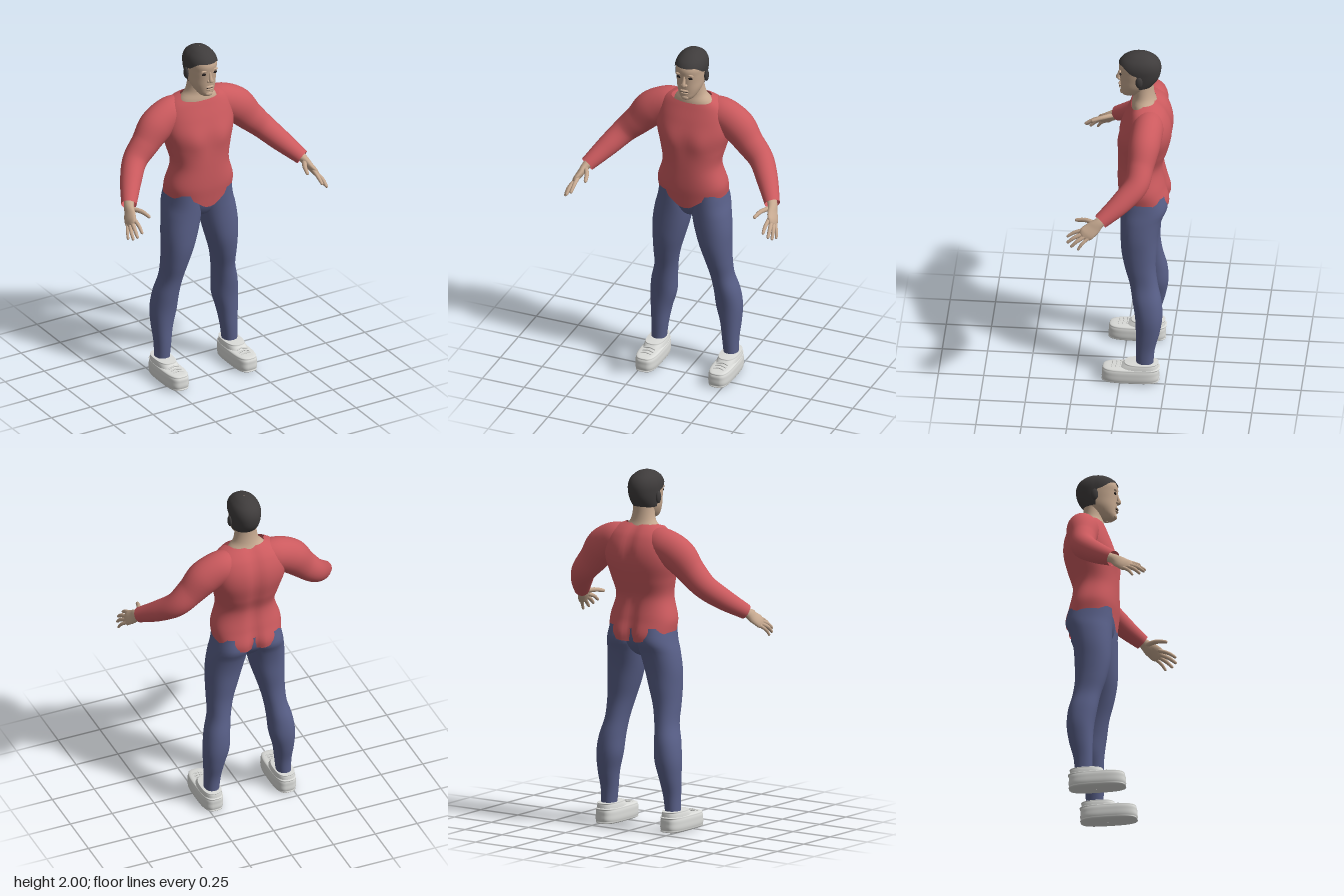
import * as THREE from 'three';

const V = (p) => new THREE.Vector3(...p);
const TAU = Math.PI * 2;
const bump = (d, width) => Math.exp(-((d / width) ** 2));

// Closed tube-like surface from f(angle, v) -> [x, y, z]
function surface(nu, nv, f) {
  const pos = [], idx = [];
  for (let j = 0; j <= nv; j++)
    for (let i = 0; i < nu; i++) pos.push(...f((i / nu) * TAU, j / nv));
  for (let j = 0; j < nv; j++)
    for (let i = 0; i < nu; i++) {
      const a = j * nu + i, b = j * nu + ((i + 1) % nu);
      idx.push(a, a + nu, b, b, a + nu, b + nu);
    }
  const g = new THREE.BufferGeometry();
  g.setAttribute('position', new THREE.Float32BufferAttribute(pos, 3));
  g.setIndex(idx);
  g.computeVertexNormals();
  return g;
}

// Smooth lookup in a table whose first column is height
function profile(rows) {
  const slope = (i, k) => {
    const a = rows[Math.max(0, i - 1)], b = rows[Math.min(rows.length - 1, i + 1)];
    return (b[k] - a[k]) / (b[0] - a[0]);
  };
  return (y) => {
    let i = 0;
    while (i < rows.length - 2 && y > rows[i + 1][0]) i++;
    const a = rows[i], b = rows[i + 1], h = b[0] - a[0];
    const t = THREE.MathUtils.clamp((y - a[0]) / h, 0, 1), t2 = t * t, t3 = t2 * t;
    return a.map((_, k) => (2 * t3 - 3 * t2 + 1) * a[k] + (3 * t2 - 2 * t3) * b[k] +
      h * ((t3 - 2 * t2 + t) * slope(i, k) + (t3 - t2) * slope(i + 1, k)));
  };
}

// Point on an upright body; rows are [y, half width, front z, back z, centre x]
function ringPoint(prof, angle, y, e = 1) {
  const [, w, zf, zb, cx = 0] = prof(y);
  const c = Math.cos(angle), s = Math.sin(angle);
  const pw = (n) => Math.sign(n) * Math.abs(n) ** e;
  return [cx + w * pw(c), y, (zf + zb) / 2 + ((zf - zb) / 2) * pw(s)];
}

function column(rows, nu, nv, e = 1) {
  const prof = profile(rows), y0 = rows[0][0], y1 = rows[rows.length - 1][0];
  return surface(nu, nv, (u, v) => ringPoint(prof, u, y0 + (y1 - y0) * v, e));
}

// Tube through [x, y, z, depth radius, height radius] sections
function limb(sections, nu = 12, nv = 16) {
  const path = new THREE.CatmullRomCurve3(sections.map((s) => V(s.slice(0, 3))));
  const radii = new THREE.CatmullRomCurve3(sections.map((s) => V([s[3], s[4] ?? s[3], 0])));
  return surface(nu, nv, (u, v) => {
    const p = path.getPoint(v), t = path.getTangent(v), r = radii.getPoint(v);
    const a = new THREE.Vector3(0, 0, 1).addScaledVector(t, -t.z).normalize();
    const b = a.clone().cross(t);
    return p.addScaledVector(a, r.x * Math.cos(u)).addScaledVector(b, r.y * Math.sin(u)).toArray();
  });
}

function ellipsoid(x, y, z, rx, ry, rz) {
  return new THREE.SphereGeometry(1, 16, 12).scale(rx, ry, rz).translate(x, y, z);
}

function mirrored(geo) {
  const g = geo.clone().scale(-1, 1, 1), ix = g.index.array;
  for (let i = 0; i < ix.length; i += 3) [ix[i], ix[i + 1]] = [ix[i + 1], ix[i]];
  g.computeVertexNormals();
  return g;
}

export function createModel() {
  const model = new THREE.Group();
  model.name = 'standingMan';
  const mat = (name, color) => {
    const m = new THREE.MeshStandardMaterial({ color, side: THREE.DoubleSide });
    m.name = name;
    return m;
  };
  const skin = mat('skin', 0xc6a990), shirt = mat('redShirt', 0xcb5a5e), denim = mat('blueTrousers', 0x596089);
  const dark = mat('hair', 0x3f3c3c), white = mat('shoeWhite', 0xdadbd8), eye = mat('eyeDark', 0x241f1e);
  const add = (name, geo, material) => {
    const m = new THREE.Mesh(geo, material);
    m.name = name;
    model.add(m);
  };
  const pair = (name, geo, material) => {
    add(name + 'Left', geo, material);
    add(name + 'Right', mirrored(geo), material);
  };

  // Shirt body with curved hem, chest and spine groove
  const torso = profile([
    [1.04, 0.193, 0.015, -0.255], [1.1, 0.193, 0.022, -0.262], [1.18, 0.198, 0.03, -0.24],
    [1.3, 0.166, 0.03, -0.222], [1.4, 0.185, 0.026, -0.25], [1.5, 0.213, 0.018, -0.272],
    [1.58, 0.213, -0.004, -0.268], [1.65, 0.19, -0.03, -0.24], [1.69, 0.145, -0.046, -0.205],
    [1.708, 0.1, -0.06, -0.18]]);
  add('shirtBody', surface(72, 48, (u, v) => {
    const c = Math.cos(u), s = Math.sin(u);
    const hem = 1.115 - (s > 0 ? 0.065 * bump(c, 0.36) : 0.058 * s * s);
    const top = 1.708 - 0.025 * Math.max(0, s);
    const y = hem + (top - hem) * v, p = ringPoint(torso, u, y, 0.85);
    if (s < 0) p[2] += -s * bump(p[0], 0.035) * (0.012 + 0.025 * bump(y - 1.05, 0.09));
    else p[2] += s * 0.012 * bump(Math.abs(p[0]) - 0.09, 0.06) * bump(y - 1.46, 0.07);
    return p;
  }), shirt);

  // Sleeves
  pair('sleeve', limb([
    [0.07, 1.605, -0.15, 0.07, 0.085], [0.16, 1.597, -0.145, 0.088, 0.098], [0.25, 1.553, -0.135, 0.088, 0.1],
    [0.33, 1.468, -0.122, 0.074, 0.083], [0.405, 1.392, -0.105, 0.068, 0.07], [0.475, 1.318, -0.03, 0.06, 0.06],
    [0.553, 1.237, 0.08, 0.043, 0.042]], 28, 40), shirt);

  // Hands: palm, thumb and four fingers
  pair('palm', limb([
    [0.535, 1.255, 0.05, 0.03, 0.026], [0.557, 1.232, 0.086, 0.03, 0.024], [0.572, 1.203, 0.12, 0.04, 0.02],
    [0.587, 1.178, 0.153, 0.043, 0.017], [0.594, 1.163, 0.173, 0.03, 0.012], [0.597, 1.158, 0.178, 0.002]], 16, 20), skin);
  const fingers = [
    ['thumb', [0.552, 1.222, 0.105], [0.52, 1.222, 0.165], [0.503, 1.208, 0.226], 0.0125],
    ['indexFinger', [0.573, 1.192, 0.165], [0.572, 1.172, 0.22], [0.575, 1.142, 0.265], 0.0105],
    ['middleFinger', [0.585, 1.177, 0.167], [0.598, 1.152, 0.222], [0.603, 1.12, 0.262], 0.011],
    ['ringFinger', [0.594, 1.164, 0.16], [0.612, 1.138, 0.205], [0.618, 1.102, 0.24], 0.0105],
    ['littleFinger', [0.6, 1.155, 0.145], [0.62, 1.126, 0.178], [0.629, 1.092, 0.2], 0.009]];
  for (const [name, a, b, c, r] of fingers) {
    const tip = V(c).lerp(V(b), 0.12).toArray();
    pair(name, limb([[...a, r * 1.15], [...b, r], [...tip, r * 0.75], [...c, 0.001]], 10, 14), skin);
  }

  // Trousers: legs plus the pelvis that joins them
  pair('trouserLeg', column([
    [0.1, 0.04, -0.088, -0.182, 0.216], [0.2, 0.046, -0.085, -0.19, 0.211], [0.3, 0.058, -0.085, -0.215, 0.207],
    [0.4, 0.073, -0.08, -0.23, 0.196], [0.5, 0.07, -0.065, -0.224, 0.186], [0.6, 0.063, -0.048, -0.202, 0.167],
    [0.7, 0.073, -0.02, -0.19, 0.154], [0.8, 0.089, 0, -0.194, 0.139], [0.9, 0.103, 0.006, -0.202, 0.125],
    [1.0, 0.107, 0.007, -0.225, 0.109], [1.06, 0.102, 0.008, -0.25, 0.1], [1.14, 0.09, 0.01, -0.235, 0.097]], 32, 48, 0.92), denim);
  add('trouserSeat', column([
    [0.955, 0.003, -0.1, -0.11], [0.975, 0.06, -0.05, -0.16], [1.01, 0.13, -0.02, -0.2],
    [1.06, 0.185, 0.0, -0.23], [1.13, 0.188, 0.01, -0.235]], 48, 16), denim);

  // Shoes: rounded body, ankle collar and laces
  pair('shoe', column([
    [0, 0.003, -0.06, -0.065, 0.218], [0.003, 0.048, 0.075, -0.19, 0.218], [0.018, 0.062, 0.098, -0.212, 0.218],
    [0.055, 0.064, 0.1, -0.214, 0.218], [0.08, 0.061, 0.095, -0.212, 0.218], [0.094, 0.05, 0.07, -0.2, 0.218],
    [0.099, 0.003, -0.06, -0.065, 0.218]], 40, 40, 0.62), white);
  pair('shoeCollar', column([
    [0.07, 0.06, 0.025, -0.213, 0.218], [0.095, 0.057, 0.0, -0.21, 0.218], [0.115, 0.052, -0.025, -0.205, 0.218],
    [0.122, 0.045, -0.035, -0.198, 0.218], [0.123, 0.003, -0.1, -0.105, 0.218]], 32, 20, 0.75), white);
  for (let i = 0; i < 3; i++) {
    const z = 0.045 - i * 0.024, y = 0.097 + i * 0.004;
    pair('lace' + (i + 1), limb([[0.185, y - 0.004, z, 0.004], [0.218, y + 0.003, z - 0.004, 0.004], [0.251, y - 0.004, z, 0.004]], 6, 8), white);
  }

  // Neck and head
  add('neck', column([
    [1.65, 0.125, -0.045, -0.2], [1.69, 0.104, -0.048, -0.186], [1.72, 0.076, -0.055, -0.174],
    [1.77, 0.063, -0.055, -0.166], [1.84, 0.06, -0.05, -0.165]], 36, 16), skin);
  const headRows = [
    [1.722, 0.003, -0.03, -0.04], [1.728, 0.026, 0.0, -0.07], [1.745, 0.043, 0.014, -0.1],
    [1.77, 0.058, 0.016, -0.13], [1.8, 0.069, 0.018, -0.16], [1.84, 0.075, 0.02, -0.188],
    [1.88, 0.079, 0.023, -0.2], [1.92, 0.08, 0.025, -0.2], [1.955, 0.069, 0.008, -0.184],
    [1.98, 0.046, -0.025, -0.152], [1.991, 0.026, -0.055, -0.125], [1.996, 0.002, -0.088, -0.092]];
  const head = profile(headRows);
  add('head', column(headRows, 40, 48, 0.92), skin);

  // Short hair cap with a hairline that drops behind the temples
  add('hair', surface(64, 28, (u, v) => {
    const s = Math.sin(u);
    const line = 1.935 - 0.045 * THREE.MathUtils.smoothstep(-s, -0.85, -0.1) - 0.092 * THREE.MathUtils.smoothstep(-s, -0.1, 0.18);
    const y = line + (1.996 - line) * Math.sin(v * Math.PI / 2);
    const [x, , z] = ringPoint(head, u, y, 0.92);
    return [x * 1.07, y + 0.004 * v, -0.09 + (z + 0.09) * 1.05];
  }), dark);
  pair('ear', ellipsoid(0.086, 1.853, -0.092, 0.012, 0.034, 0.02).rotateX(0), dark);

  // Face
  pair('eye', ellipsoid(0.034, 1.874, 0.0145, 0.014, 0.0075, 0.006), eye);
  pair('brow', ellipsoid(0.034, 1.893, 0.016, 0.02, 0.006, 0.007), skin);
  add('noseBridge', limb([[0, 1.885, 0.018, 0.006], [0, 1.855, 0.025, 0.009], [0, 1.832, 0.031, 0.0115], [0, 1.82, 0.025, 0.002]], 12, 14), skin);
  pair('nostril', ellipsoid(0.011, 1.829, 0.022, 0.008, 0.008, 0.01), skin);
  add('upperLip', ellipsoid(0, 1.793, 0.018, 0.025, 0.0065, 0.01), skin);
  add('lowerLip', ellipsoid(0, 1.778, 0.0165, 0.022, 0.007, 0.01), skin);
  add('mouthLine', ellipsoid(0, 1.786, 0.0185, 0.022, 0.0014, 0.0065), eye);
  add('chin', ellipsoid(0, 1.747, 0.008, 0.022, 0.015, 0.012), skin);
  return model;
}
